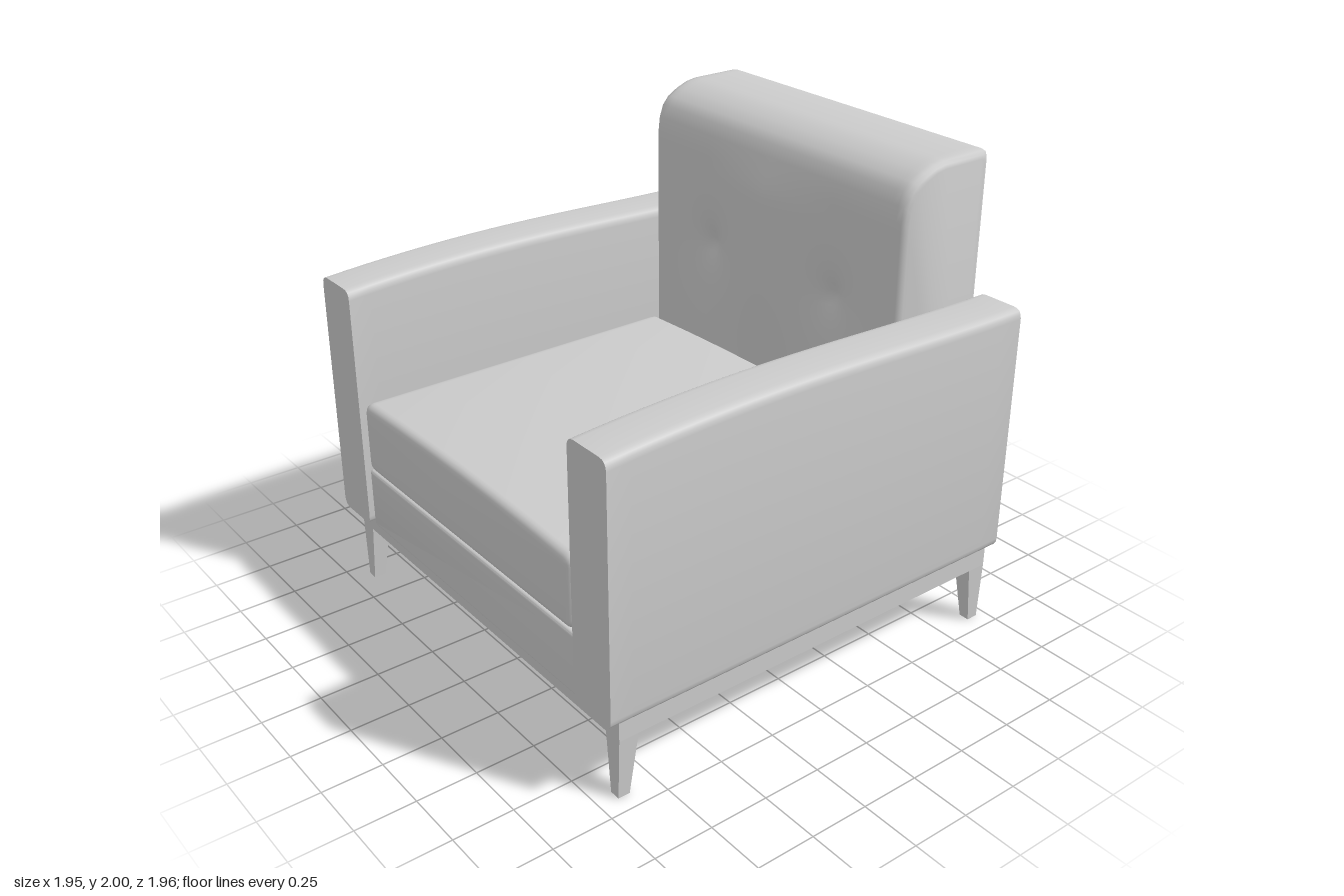
import * as THREE from 'three';
import { toCreasedNormals } from 'three/addons/utils/BufferGeometryUtils.js';

const material = new THREE.MeshStandardMaterial({ color: 0xcccccc });

function add(parent, name, geometry) {
  const mesh = new THREE.Mesh(geometry, material);
  mesh.name = name;
  parent.add(mesh);
  return mesh;
}

// Rectangle with rounded corners; crown lifts the middle of the top edge
function roundedRect(x0, x1, y0, y1, r, crown = 0) {
  const s = new THREE.Shape();
  s.moveTo(x0 + r, y0);
  s.lineTo(x1 - r, y0);
  s.quadraticCurveTo(x1, y0, x1, y0 + r);
  s.lineTo(x1, y1 - r);
  s.quadraticCurveTo(x1, y1, x1 - r, y1);
  if (crown) s.quadraticCurveTo((x0 + x1) / 2, y1 + 2 * crown, x0 + r, y1);
  else s.lineTo(x0 + r, y1);
  s.quadraticCurveTo(x0, y1, x0, y1 - r);
  s.lineTo(x0, y0 + r);
  s.quadraticCurveTo(x0, y0, x0 + r, y0);
  return s;
}

// Upholstered block from z0 to z1 with softened front and back edges
function cushion(shape, z0, z1, bevel) {
  const g = new THREE.ExtrudeGeometry(shape, {
    depth: z1 - z0 - 2 * bevel, curveSegments: 6,
    bevelEnabled: true, bevelSize: bevel, bevelThickness: bevel, bevelOffset: -bevel, bevelSegments: 4,
  });
  g.translate(0, 0, z0 + bevel);
  return toCreasedNormals(g, 0.7);
}

// Padded arm whose top swells gently along its length
function armGeometry() {
  const g = new THREE.ExtrudeGeometry(roundedRect(-0.11, 0.11, 0.355, 1.42, 0.04), {
    depth: 1.96, steps: 20, curveSegments: 4, bevelEnabled: false,
  });
  g.translate(0, 0, -0.98);
  const p = g.attributes.position;
  for (let i = 0; i < p.count; i++) {
    if (p.getY(i) < 1) continue;
    const t = p.getZ(i) - 0.25;
    const lift = t > 0 ? 1 - (t / 0.73) ** 2 : Math.cos((Math.PI / 2) * (t / 1.23)) ** 2;
    p.setY(i, p.getY(i) + 0.03 * lift);
  }
  return toCreasedNormals(g, 0.7);
}

// Depth of the padded front: a ridge between two buttoned dimples
function padding(x, y) {
  const up = THREE.MathUtils.smoothstep(y, 0.7, 1.4) * (1 - THREE.MathUtils.smoothstep(y, 1.7, 1.88));
  const ridge = 0.037 * Math.max(0, 1 - Math.abs(x) / 0.38) * up;
  const r = Math.hypot(Math.abs(x) - 0.37, (y - 1.38) * 0.9);
  return ridge - 0.05 * Math.exp(-r / 0.075);
}

// Backrest: side profile swept across x, inset at both ends
function backGeometry() {
  const profile = [[-0.98, 0.355], [-0.98, 1.98], [-0.974, 1.994], [-0.96, 2], [-0.74, 2], [-0.69, 1.992],
    [-0.64, 1.973], [-0.59, 1.945], [-0.56, 1.91], [-0.542, 1.86], [-0.535, 1.8]];
  const rows = 44;
  for (let i = 1; i <= rows; i++) profile.push([-0.535, 1.8 - (1.445 * i) / rows]);
  const n = profile.length;

  const columns = [[-0.75, 0.03], [-0.745, 0.015], [-0.732, 0.004]];
  for (let i = 0; i <= 48; i++) columns.push([-0.71 + (1.42 * i) / 48, 0]);
  columns.push([0.732, 0.004], [0.745, 0.015], [0.75, 0.03]);

  const pos = [], index = [];
  columns.forEach(([x, inset], i) => {
    profile.forEach(([z, y], j) => {
      const front = j >= 8 && inset === 0 && Math.abs(x) < 0.7;
      const zz = -0.757 + (z + 0.757) * (1 - inset / 0.223) + (front ? padding(x, y) : 0);
      const yy = 0.355 + (y - 0.355) * (1 - inset / 1.645);
      pos.push(x, yy, zz);
      if (i === columns.length - 1) return;
      const a = i * n + j, b = i * n + ((j + 1) % n);
      index.push(a, b, a + n, b, b + n, a + n);
    });
  });
  // Flat end caps
  const last = (columns.length - 1) * n;
  for (let j = 1; j < n - 1; j++) {
    index.push(0, j + 1, j);
    index.push(last, last + j, last + j + 1);
  }
  const g = new THREE.BufferGeometry();
  g.setAttribute('position', new THREE.Float32BufferAttribute(pos, 3));
  g.setIndex(index);
  return toCreasedNormals(g, 0.8);
}

// Rectangular rail ring lying flat under the seat
function frameGeometry() {
  const corners = (x, z0, z1) => [[-x, -z0], [x, -z0], [x, -z1], [-x, -z1]].map(([a, b]) => new THREE.Vector2(a, b));
  const s = new THREE.Shape(corners(0.94, 0.92, -0.955));
  s.holes.push(new THREE.Path(corners(0.86, 0.84, -0.875)));
  const g = new THREE.ExtrudeGeometry(s, { depth: 0.095, bevelEnabled: false });
  g.rotateX(-Math.PI / 2);
  g.translate(0, 0.26, 0);
  return g;
}

// Square leg narrowing to the foot, mostly on its inner sides
function legGeometry(sx, sz, zOuter) {
  const g = new THREE.BoxGeometry(2, 0.26, 2);
  const p = g.attributes.position;
  for (let i = 0; i < p.count; i++) {
    const foot = p.getY(i) < 0;
    const outerX = p.getX(i) * sx > 0, outerZ = p.getZ(i) * sz > 0;
    const x = outerX ? (foot ? 0.93 : 0.94) : (foot ? 0.885 : 0.86);
    const inward = outerZ ? 0 : (foot ? 0.05 : 0.085);
    p.setXYZ(i, sx * x, foot ? 0 : 0.26, zOuter - sz * inward);
  }
  const flat = g.toNonIndexed();
  flat.computeVertexNormals();
  return flat;
}

export function createModel() {
  const chair = new THREE.Group();
  chair.name = 'armchair';

  // Upholstery
  add(chair, 'seatBase', cushion(roundedRect(-0.745, 0.745, 0.355, 0.622, 0.015), -0.95, 0.965, 0.015));
  add(chair, 'seatCushion', cushion(roundedRect(-0.74, 0.74, 0.625, 0.938, 0.05, 0.018), -0.52, 0.97, 0.035));
  add(chair, 'backrest', backGeometry());
  const arm = armGeometry();
  add(chair, 'leftArm', arm).position.x = 0.865;
  add(chair, 'rightArm', arm).position.x = -0.865;

  // Rail frame and legs
  add(chair, 'railFrame', frameGeometry());
  for (const [side, sx] of [['Left', 1], ['Right', -1]]) {
    add(chair, 'front' + side + 'Leg', legGeometry(sx, 1, 0.92));
    add(chair, 'back' + side + 'Leg', legGeometry(sx, -1, -0.955));
  }
  return chair;
}
